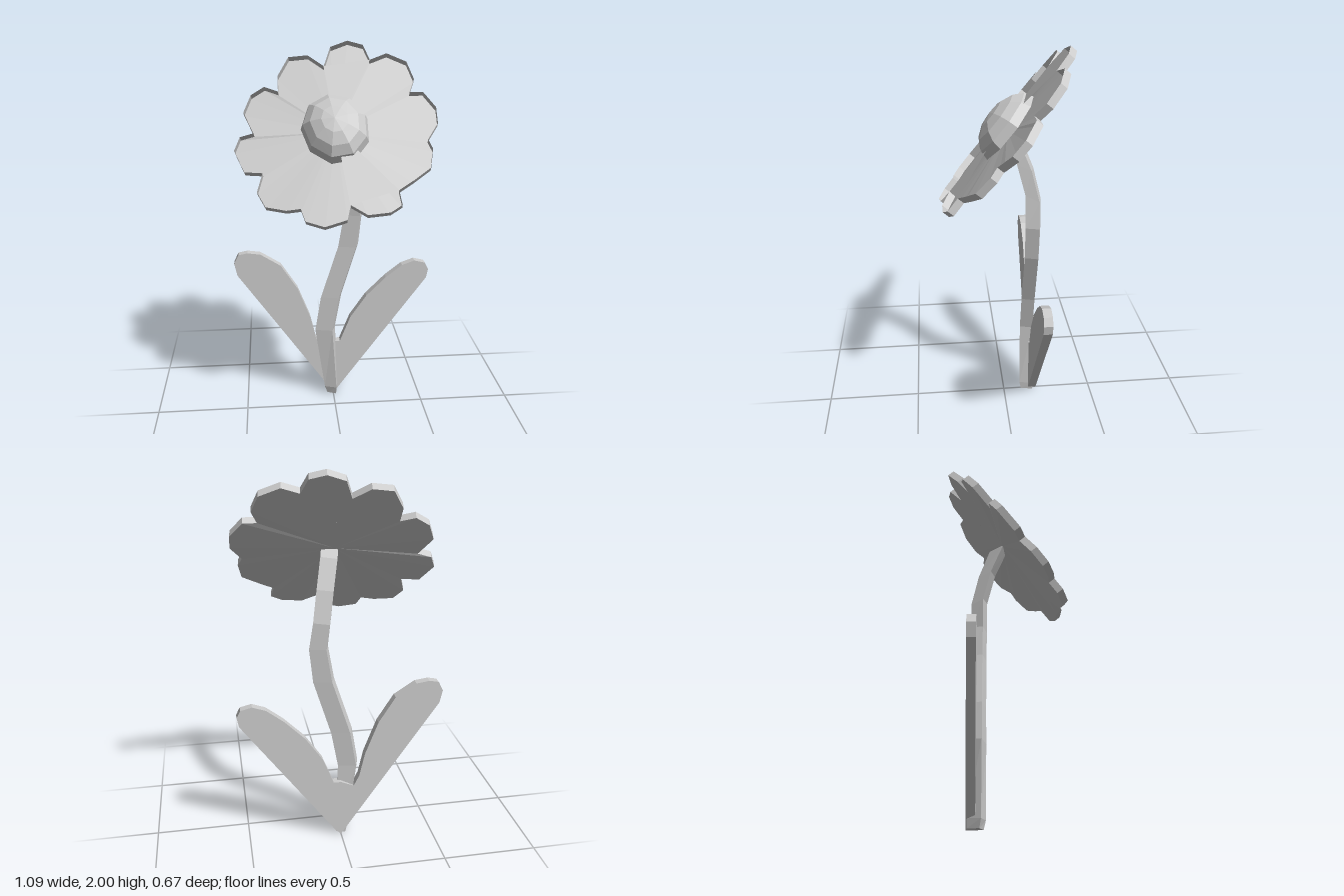
import * as THREE from 'three';

const grey = new THREE.MeshStandardMaterial({ color: 0xcccccc, flatShading: true, side: THREE.DoubleSide });
grey.name = 'pale grey';

// Tilted blossom surface, its side petals drooping slightly backwards
const CY = 1.6;
const plane = (x, y) => 0.012 - 0.815 * (y - CY) + 0.14 * x - 0.2 * x * x;
// Blossom normal, and the depth of the petal tray
const N = [-0.1, 0.63, 0.77];
const DEPTH = 0.038;
const lift = (x, y, h) => [x + N[0] * h, y + N[1] * h, plane(x, y) + N[2] * h];

// Ten lobes, clockwise from the top: notch followed by three rounded tip points
const OUTLINE = [
  [-0.04, 1.88], [0.0, 1.97], [0.09, 2.0], [0.17, 1.98],
  [0.20, 1.91], [0.29, 1.94], [0.39, 1.90], [0.42, 1.82],
  [0.39, 1.76], [0.46, 1.76], [0.52, 1.69], [0.52, 1.62],
  [0.46, 1.55], [0.48, 1.51], [0.46, 1.43], [0.37, 1.38],
  [0.29, 1.34], [0.30, 1.28], [0.24, 1.25], [0.13, 1.24],
  [0.05, 1.28], [0.03, 1.22], [-0.08, 1.19], [-0.17, 1.21],
  [-0.19, 1.26], [-0.26, 1.25], [-0.36, 1.26], [-0.40, 1.32],
  [-0.37, 1.40], [-0.46, 1.40], [-0.51, 1.49], [-0.48, 1.55],
  [-0.41, 1.57], [-0.46, 1.66], [-0.42, 1.74], [-0.35, 1.78],
  [-0.28, 1.76], [-0.28, 1.83], [-0.22, 1.92], [-0.12, 1.93],
];

function build(positions, index) {
  const g = new THREE.BufferGeometry();
  g.setAttribute('position', new THREE.Float32BufferAttribute(positions, 3));
  g.setIndex(index);
  g.computeVertexNormals();
  return g;
}

// Shallow open tray: a rim around the outline and a floor at its back
function petalGeometry() {
  const n = OUTLINE.length, pos = [], idx = [];
  for (const h of [0, -DEPTH]) {
    for (const [x, y] of OUTLINE) pos.push(...lift(x, y, h));
  }
  pos.push(...lift(0, CY, -DEPTH));
  for (let i = 0; i < n; i++) {
    const j = (i + 1) % n;
    idx.push(2 * n, n + i, n + j);
    idx.push(i, j, n + j, i, n + j, n + i);
  }
  return build(pos, idx);
}

// Raised front panel spanning chosen outline points
function panelGeometry(ids) {
  const pos = [...lift(0, CY, 0)], idx = [];
  ids.forEach((id, i) => {
    pos.push(...lift(...OUTLINE[id], 0));
    if (i) idx.push(0, i + 1, i);
  });
  return build(pos, idx);
}

// Faceted dome standing on the tray floor
function domeGeometry() {
  const g = new THREE.SphereGeometry(1, 9, 4, 0, Math.PI * 2, 0, Math.PI / 2);
  g.rotateX(Math.PI / 2);
  const p = g.attributes.position;
  for (let i = 0; i < p.count; i++) {
    const h = p.getZ(i) * 0.125 - DEPTH;
    p.setXYZ(i, ...lift(p.getX(i) * 0.175, CY + 0.01 + p.getY(i) * 0.15, h));
  }
  g.computeVertexNormals();
  return g;
}

// Four-sided, slightly twisted stem lofted through [x, y, z, half width, half depth]
function stemGeometry() {
  const rows = [
    [-0.005, 0.005, -0.14, 0.03, 0.04], [-0.01, 0.05, -0.135, 0.04, 0.045],
    [-0.045, 0.42, -0.135, 0.058, 0.043], [-0.01, 0.62, -0.138, 0.06, 0.043],
    [0.085, 0.92, -0.14, 0.058, 0.043], [0.11, 1.1, -0.14, 0.052, 0.043],
    [0.09, 1.25, -0.14, 0.05, 0.043], [0.065, 1.41, -0.1, 0.05, 0.045],
    [0.035, 1.56, -0.035, 0.05, 0.05],
  ];
  const corners = [[1, -0.6], [0.65, 1], [-1, 0.5], [-0.65, -1]];
  const S = 4, pos = [], idx = [];
  rows.forEach(([x, y, z, w, d], r) => {
    const tilt = r > 5 ? 0.45 : 0;
    for (const [cx, cz] of corners) pos.push(x + cx * w, y + cz * d * tilt, z + cz * d);
  });
  for (let r = 0; r < rows.length - 1; r++) {
    for (let k = 0; k < S; k++) {
      const a = r * S + k, b = r * S + (k + 1) % S;
      idx.push(a, a + S, b, b, a + S, b + S);
    }
  }
  const top = (rows.length - 1) * S;
  idx.push(0, 1, 2, 0, 2, 3, top, top + 2, top + 1, top, top + 3, top + 2);
  return build(pos, idx);
}

function leafGeometry(points) {
  const shape = new THREE.Shape(points.map(([x, y]) => new THREE.Vector2(x, y)));
  const g = new THREE.ExtrudeGeometry(shape, { depth: 0.045, bevelEnabled: false });
  g.translate(0, 0, -0.185);
  return g;
}

const RIGHT_LEAF = [
  [0, 0], [-0.03, 0.04], [-0.53, 0.76], [-0.545, 0.83], [-0.52, 0.88], [-0.47, 0.89],
  [-0.40, 0.88], [-0.29, 0.81], [-0.20, 0.67], [-0.13, 0.49], [-0.10, 0.36],
  [-0.07, 0.3], [0, 0.33],
];
const LEFT_LEAF = [
  [0, 0], [0.025, 0.02], [0.53, 0.71], [0.54, 0.76], [0.52, 0.80], [0.46, 0.815],
  [0.39, 0.79], [0.30, 0.72], [0.19, 0.61], [0.10, 0.48], [0.04, 0.33], [0, 0.33],
];

export function createModel() {
  const group = new THREE.Group();
  group.name = 'flower';
  const add = (name, geometry) => {
    const mesh = new THREE.Mesh(geometry, grey);
    mesh.name = name;
    group.add(mesh);
  };
  add('petals', petalGeometry());
  add('topPetalPanel', panelGeometry([0, 4]));
  add('lowerPetalPanel', panelGeometry([16, 20]));
  add('flowerCentre', domeGeometry());
  add('stem', stemGeometry());
  add('rightLeaf', leafGeometry(RIGHT_LEAF));
  add('leftLeaf', leafGeometry(LEFT_LEAF));
  return group;
}
